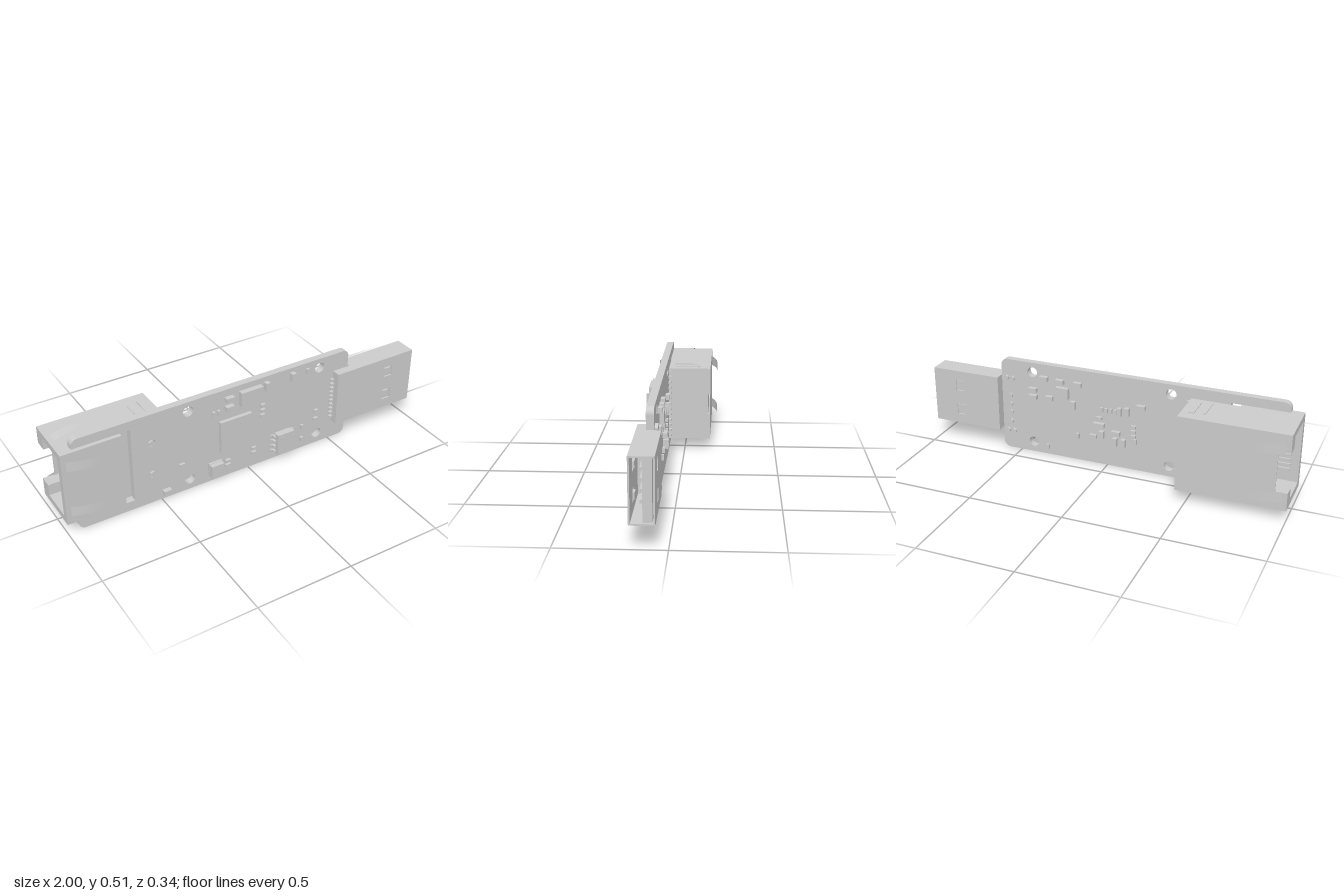
import * as THREE from 'three';

const grey = new THREE.MeshStandardMaterial({ color: 0xcccccc });
const thin = new THREE.MeshStandardMaterial({ color: 0xcccccc, side: THREE.DoubleSide });
const Z0 = 0.088, Z1 = 0.125; // board back and front faces

export function createModel() {
  const root = new THREE.Group();

  const add = (name, geo, parent = root, mat = grey) => {
    const m = new THREE.Mesh(geo, mat);
    m.name = name;
    parent.add(m);
    return m;
  };
  const group = (name) => {
    const g = new THREE.Group();
    g.name = name;
    root.add(g);
    return g;
  };
  // Box given by its limits on each axis
  const box = (name, x0, x1, y0, y1, z0, z1, parent) => {
    const g = new THREE.BoxGeometry(x1 - x0, y1 - y0, z1 - z0);
    g.translate((x0 + x1) / 2, (y0 + y1) / 2, (z0 + z1) / 2);
    return add(name, g, parent);
  };
  const poly = (pts) => new THREE.Shape(pts.map(([a, b]) => new THREE.Vector2(a, b)));
  const rect = (a0, a1, b0, b1) => poly([[a0, b0], [a1, b0], [a1, b1], [a0, b1]]);
  const extrude = (shape, depth) =>
    new THREE.ExtrudeGeometry(shape, { depth, bevelEnabled: false, curveSegments: 10 });
  // Extrude along x; shapes are drawn as (-z, y)
  const extrudeX = (shape, x0, x1) => extrude(shape, x1 - x0).rotateY(Math.PI / 2).translate(x0, 0, 0);
  const cyl = (name, x, y, z0, z1, r, parent) => {
    const g = new THREE.CylinderGeometry(r, r, z1 - z0, 16).rotateX(Math.PI / 2);
    add(name, g.translate(x, y, (z0 + z1) / 2), parent);
  };

  // Circuit board: rounded outline, notch for the socket, mounting holes
  const r = 0.035, L = -0.94, R = 0.605, T = 0.513;
  const s = new THREE.Shape();
  s.moveTo(L + r, 0);
  s.lineTo(R - r, 0);
  s.absarc(R - r, r, r, -Math.PI / 2, 0);
  s.lineTo(R, T - r);
  s.absarc(R - r, T - r, r, 0, Math.PI / 2);
  s.lineTo(L + r, T);
  s.absarc(L + r, T - r, r, Math.PI / 2, Math.PI);
  s.lineTo(L, 0.465);
  s.lineTo(-0.645, 0.465);
  s.lineTo(-0.645, 0.052);
  s.lineTo(L, 0.052);
  s.lineTo(L, r);
  s.absarc(L + r, r, r, Math.PI, Math.PI * 1.5);
  const hole = (x, y, rad) => s.holes.push(new THREE.Path().absarc(x, y, rad, 0, Math.PI * 2, true));
  for (const x of [-0.34, 0.425]) for (const y of [0.058, 0.46]) hole(x, y, 0.028);
  for (const y of [0.17, 0.35]) hole(-0.54, y, 0.02);
  add('circuitBoard', extrude(s, Z1 - Z0).translate(0, 0, Z0));

  // Network socket: hollow front frame and rear block
  const socket = group('networkSocket');
  const opening = () => poly([[-0.1, 0.095], [0.075, 0.095], [0.075, 0.155], [0.134, 0.155],
    [0.134, 0.365], [0.075, 0.365], [0.075, 0.425], [-0.1, 0.425]]);
  // mouth with a latch notch through the back wall
  add('socketMouth', extrudeX(poly([[-0.135, 0.06], [0.14, 0.06], [0.14, 0.155], [0.075, 0.155], [0.075, 0.095],
    [-0.1, 0.095], [-0.1, 0.425], [0.075, 0.425], [0.075, 0.365], [0.14, 0.365], [0.14, 0.457], [-0.135, 0.457]]),
  -1, -0.94), socket);
  const frame = rect(-0.135, 0.14, 0.06, 0.457);
  frame.holes.push(opening());
  add('socketFrame', extrudeX(frame, -0.94, -0.695), socket);
  const rear = rect(-0.087, 0.14, 0.06, 0.457);
  rear.holes.push(rect(0.129, 0.136, 0.2, 0.315));
  add('socketRear', extrudeX(rear, -0.695, -0.445), socket);
  box('socketFrontLip', -0.705, -0.695, 0.06, 0.457, 0.087, 0.135, socket);
  for (let i = 0; i < 8; i++) {
    const y = 0.26 + (i - 3.5) * 0.026;
    box('socketContact', -0.96, -0.695, y - 0.005, y + 0.005, 0.075, 0.085, socket);
  }
  // shallow folded seams on the shell sides
  for (const [y0, y1] of [[0.056, 0.06], [0.457, 0.461]]) {
    box('shellTab', -0.51, -0.48, y0, y1, -0.08, 0.05, socket);
    box('shellSeam', -0.565, -0.55, y0, y1, -0.07, 0.06, socket);
  }
  for (const y of [0.17, 0.35]) cyl('socketPeg', -0.54, y, 0.08, 0.13, 0.015, socket);
  for (let i = 0; i < 13; i++) {
    const y = 0.08 + i * 0.03;
    box('socketLead', -0.447, -0.425, y - 0.006, y + 0.006, 0.072, Z0, socket);
  }

  // Curved grounding springs on the four sides of the socket mouth
  const spring = (lift, place) => {
    const g = new THREE.PlaneGeometry(0.145, 0.054, 8, 1);
    const p = g.attributes.position;
    for (let i = 0; i < p.count; i++) {
      const t = p.getX(i) / 0.145 + 0.5;
      p.setXYZ(i, -0.975 + t * 0.145, p.getY(i) * (1 - 0.15 * t), lift * (1 - (1 - t) ** 2));
    }
    place(g);
    g.computeVertexNormals();
    add('groundSpring', g, socket, thin);
  };
  for (const y of [0.13, 0.387]) {
    spring(0.031, (g) => g.rotateX(Math.PI).translate(0, y, -0.141));
    spring(0.029, (g) => g.translate(0, y, 0.136));
  }
  spring(0.029, (g) => g.rotateX(-Math.PI / 2).translate(0, 0.458, -0.011));
  spring(0.029, (g) => g.rotateX(Math.PI / 2).translate(0, 0.059, -0.011));

  // Plug: folded metal shell with windows, tongue and contacts
  const plug = group('plug');
  const plate = (name, x0, z) => {
    const sh = rect(x0, 1, 0.108, 0.412);
    for (const y of [0.19, 0.33]) sh.holes.push(rect(0.82, 0.87, y - 0.03, y + 0.03));
    add(name, extrude(sh, 0.008).translate(0, 0, z), plug);
  };
  plate('plugFrontPlate', 0.515, 0.162);
  plate('plugBackPlate', 0.615, 0.055);
  for (const y of [0.108, 0.404]) box('plugSide', 0.615, 1, y, y + 0.008, 0.063, 0.162, plug);
  box('plugBase', 0.515, 0.63, 0.108, 0.412, Z1, 0.162, plug);
  box('plugRearWall', 0.615, 0.63, 0.116, 0.404, 0.063, Z1, plug);
  box('plugTongue', 0.63, 0.985, 0.116, 0.404, 0.068, 0.11, plug);
  for (const y of [0.16, 0.21, 0.258, 0.308, 0.36]) box('plugContact', 0.63, 0.85, y - 0.008, y + 0.008, 0.11, 0.134, plug);
  for (const y of [0.19, 0.33]) {
    box('plugFrontFinger', 0.82, 0.865, y - 0.016, y + 0.016, 0.153, 0.164, plug);
    box('plugBackFinger', 0.82, 0.87, y - 0.026, y + 0.026, 0.059, 0.068, plug);
  }
  for (let i = 0; i < 10; i++) {
    const y = 0.14 + i * 0.025;
    box('plugLead', 0.495, 0.516, y - 0.006, y + 0.006, Z1, 0.14, plug);
  }
  for (const y of [0.16, 0.215, 0.26, 0.31]) cyl('solderPin', 0.555, y, 0.076, Z0, 0.012, plug);
  for (const y of [0.105, 0.41]) for (const x of [0.54, 0.575]) cyl('solderTab', x, y, 0.072, Z0, 0.013, plug);

  // Front parts: centre x, centre y, width, height, depth
  const front = group('frontComponents');
  const onFront = (name, x, y, w, h, d) =>
    box(name, x - w / 2, x + w / 2, y - h / 2, y + h / 2, Z1, Z1 + d, front);
  onFront('mainChip', -0.08, 0.252, 0.18, 0.18, 0.02);
  onFront('crystal', 0.007, 0.44, 0.125, 0.08, 0.028);
  onFront('inductorBase', -0.198, 0.075, 0.075, 0.075, 0.012);
  cyl('inductorCore', -0.198, 0.075, Z1, 0.155, 0.028, front);
  onFront('inductorTop', -0.198, 0.075, 0.07, 0.07, 0.035).position.z = 0.002;
  box('memoryChip', 0.155, 0.25, 0.038, 0.16, 0.131, 0.167, front);
  cyl('chipMarker', 0.185, 0.138, 0.16, 0.169, 0.01, front);
  for (let i = 0; i < 4; i++) {
    const y = 0.055 + i * 0.03;
    for (const side of [-1, 1]) {
      const x = 0.2025 + side * 0.054;
      box('chipLeg', x - 0.008, x + 0.008, y - 0.006, y + 0.006, 0.13, 0.15, front);
      box('chipFoot', x + side * 0.009 - 0.008, x + side * 0.009 + 0.008, y - 0.006, y + 0.006, Z1, 0.132, front);
    }
  }
  const small = [[-0.115, 0.46, 0.045, 0.025], [-0.115, 0.41, 0.045, 0.025], [-0.203, 0.4, 0.014, 0.025],
    [-0.175, 0.4, 0.014, 0.025], [0.1, 0.463, 0.025, 0.045], [0.255, 0.467, 0.025, 0.045], [0.347, 0.47, 0.016, 0.025],
    [0.08, 0.355, 0.025, 0.016], [0.08, 0.325, 0.025, 0.016], [0.08, 0.295, 0.025, 0.016], [-0.385, 0.167, 0.028, 0.014],
    [-0.475, 0.043, 0.042, 0.024], [-0.125, 0.092, 0.03, 0.016], [-0.125, 0.065, 0.03, 0.016], [0.03, 0.112, 0.025, 0.015],
    [0.03, 0.085, 0.025, 0.015], [0.325, 0.137, 0.015, 0.025], [0.325, 0.06, 0.015, 0.025], [0.41, 0.207, 0.025, 0.016],
    [0.41, 0.158, 0.025, 0.016]];
  for (const [x, y, w, h] of small) onFront('frontComponent', x, y, w, h, w * h > 0.0009 ? 0.025 : 0.014);

  // Back parts: centre x, centre y, width, height
  const back = group('backComponents');
  const rearParts = [[0.42, 0.365, 0.045, 0.024], [0.42, 0.325, 0.045, 0.024], [0.355, 0.438, 0.045, 0.025],
    [0.265, 0.434, 0.045, 0.025], [0.165, 0.434, 0.045, 0.025], [0.25, 0.374, 0.07, 0.06], [0.19, 0.314, 0.025, 0.045],
    [0.325, 0.333, 0.04, 0.024], [0.03, 0.315, 0.014, 0.025], [0.005, 0.315, 0.014, 0.025], [-0.02, 0.315, 0.014, 0.025],
    [-0.045, 0.315, 0.014, 0.025], [-0.068, 0.32, 0.022, 0.045], [-0.11, 0.327, 0.024, 0.045], [-0.185, 0.364, 0.045, 0.025],
    [-0.145, 0.247, 0.025, 0.016], [-0.145, 0.22, 0.025, 0.016], [-0.145, 0.193, 0.025, 0.016], [0.045, 0.227, 0.06, 0.024],
    [0.08, 0.155, 0.04, 0.022], [0.03, 0.175, 0.024, 0.04], [-0.05, 0.195, 0.045, 0.025], [-0.045, 0.146, 0.024, 0.045],
    [-0.09, 0.146, 0.024, 0.045], [-0.155, 0.165, 0.016, 0.028], [0.165, 0.142, 0.014, 0.028], [0.34, 0.047, 0.014, 0.028],
    [0.045, 0.265, 0.03, 0.016]];
  for (const [x, y, w, h] of rearParts)
    box('backComponent', x - w / 2, x + w / 2, y - h / 2, y + h / 2, Z0 - (w * h > 0.0009 ? 0.022 : 0.014), Z0, back);

  return root;
}
